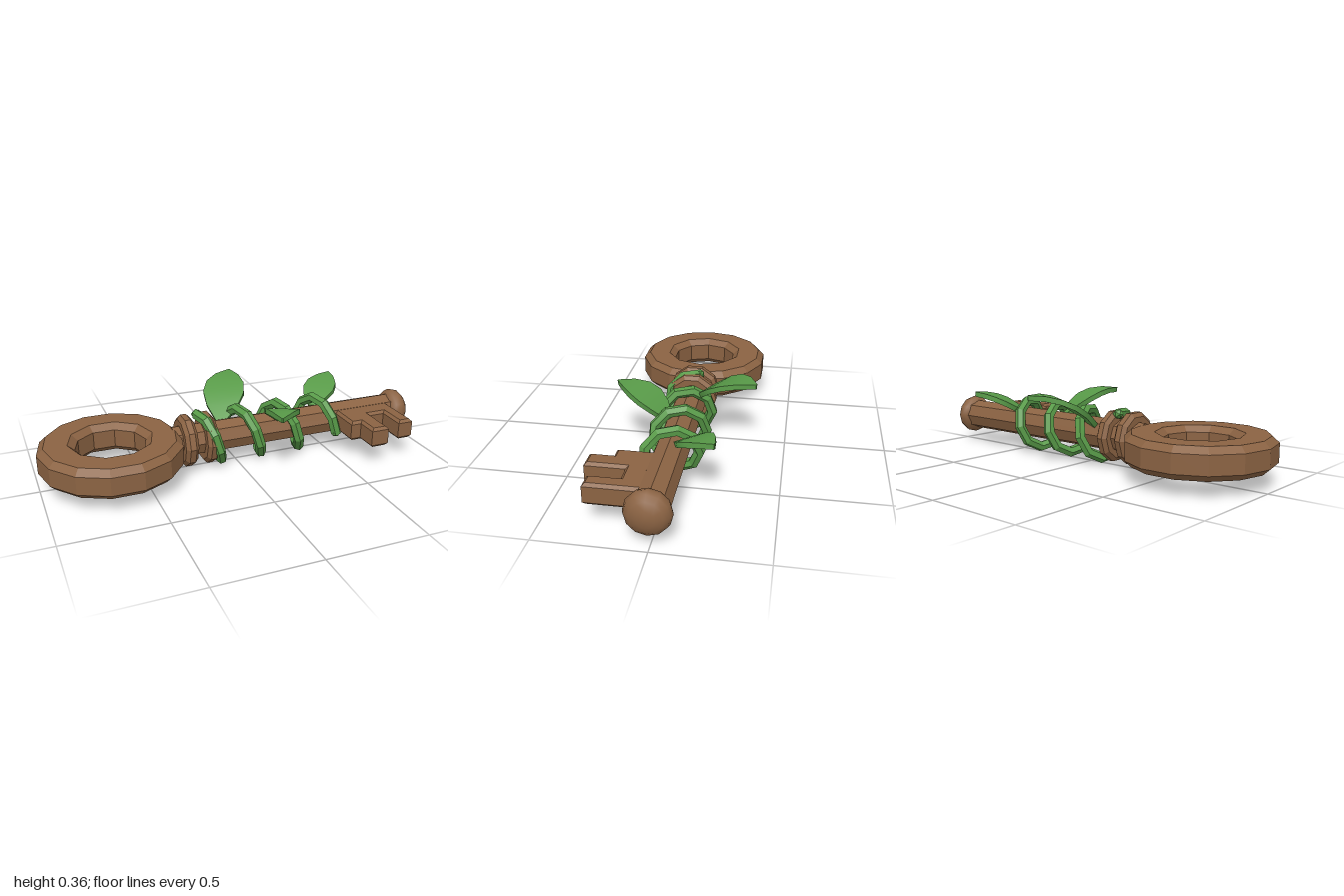
import * as THREE from 'three';
import { toCreasedNormals } from 'three/addons/utils/BufferGeometryUtils.js';

const CY = 0.154, CZ = 0.011; // axis of the shaft

const wood = new THREE.MeshStandardMaterial({ color: 0x8b6343 });
wood.name = 'wood brown';
const green = new THREE.MeshStandardMaterial({ color: 0x589a48 });
green.name = 'leaf green';

function add(parent, name, geometry, material, crease = 0.3) {
  const mesh = new THREE.Mesh(toCreasedNormals(geometry, crease), material);
  mesh.name = name;
  parent.add(mesh);
  return mesh;
}

function polygon(sides, radius) {
  return Array.from({ length: sides }, (_, i) => {
    const a = (i / sides) * Math.PI * 2;
    return new THREE.Vector2(Math.cos(a) * radius, Math.sin(a) * radius);
  });
}

// Bevelled slab lying flat, shape drawn as (x, -z)
function slab(shape, y0, y1, bevelThickness, bevelSize) {
  const geo = new THREE.ExtrudeGeometry(shape, {
    depth: y1 - y0 - 2 * bevelThickness, bevelThickness, bevelSize, bevelSegments: 1,
  });
  return geo.rotateX(-Math.PI / 2).translate(0, y0 + bevelThickness, 0);
}

// Thick curved leaf swept from rectangular cross-sections
function leafGeometry(base, control, tip, halfWidth) {
  const curve = new THREE.QuadraticBezierCurve3(
    new THREE.Vector3(...base), new THREE.Vector3(...control), new THREE.Vector3(...tip));
  const profile = [0.22, 0.75, 1, 0.93, 0.58, 0.04];
  const half = 0.013, pos = [], index = [], up = new THREE.Vector3(0, 1, 0);
  profile.forEach((k, i) => {
    const t = i / (profile.length - 1);
    const p = curve.getPoint(t), d = curve.getTangent(t);
    const w = up.clone().cross(d).normalize(), n = d.clone().cross(w);
    for (const [sw, sn] of [[1, 1], [-1, 1], [-1, -1], [1, -1]]) {
      const v = p.clone().addScaledVector(w, sw * k * halfWidth).addScaledVector(n, sn * half);
      pos.push(v.x, v.y, v.z);
    }
    if (i === 0) return;
    for (let j = 0; j < 4; j++) {
      const a = (i - 1) * 4 + j, b = (i - 1) * 4 + (j + 1) % 4;
      index.push(a, b, b + 4, a, b + 4, a + 4);
    }
  });
  const e = (profile.length - 1) * 4;
  index.push(0, 3, 2, 0, 2, 1, e, e + 1, e + 2, e, e + 2, e + 3);
  const geo = new THREE.BufferGeometry();
  geo.setAttribute('position', new THREE.Float32BufferAttribute(pos, 3));
  geo.setIndex(index);
  return geo;
}

export function createModel() {
  const model = new THREE.Group();
  model.name = 'key with vine';

  // Ring handle: 14-sided outside, 10-sided hole
  const ring = new THREE.Shape(polygon(14, 0.32));
  ring.holes.push(new THREE.Path(polygon(10, 0.207)));
  add(model, 'ringHandle', slab(ring, 0.077, 0.227, 0.03, 0.032), wood)
    .position.set(-0.647, 0, CZ);

  // Octagonal shaft
  add(model, 'shaft', new THREE.CylinderGeometry(0.081, 0.081, 1.25, 8).rotateZ(-Math.PI / 2), wood)
    .position.set(0.285, CY, CZ - 0.005);

  // Two chamfered collars
  for (const [x, w] of [[-0.268, 0.033], [-0.157, 0.031]]) {
    const profile = [[0.07, -w], [0.112, -w], [0.132, -w * 0.45], [0.132, w * 0.45], [0.112, w], [0.07, w]]
      .map(([r, y]) => new THREE.Vector2(r, y));
    add(model, 'collar', new THREE.LatheGeometry(profile, 10).rotateZ(-Math.PI / 2), wood)
      .position.set(x, CY, CZ - 0.003);
  }

  // Flattened end knob
  add(model, 'endKnob', new THREE.SphereGeometry(0.106, 12, 8).rotateZ(-Math.PI / 2).scale(0.62, 1, 1), wood, 1)
    .position.set(0.934, CY - 0.002, CZ);

  // Key bit with stepped teeth, outline as (x, z) inset by the bevel
  const b = 0.014;
  const bit = [
    [0.55 + b, 0.03], [0.55 + b, 0.235 - b], [0.605 + b, 0.235 - b], [0.605 + b, 0.347 - b],
    [0.70 - b, 0.347 - b], [0.70 - b, 0.16 - b], [0.785 + b, 0.16 - b], [0.785 + b, 0.308 - b],
    [0.865 - b, 0.308 - b], [0.865 - b, 0.03],
  ].map(([x, z]) => new THREE.Vector2(x, -z));
  add(model, 'keyBit', slab(new THREE.Shape(bit), 0.105, 0.21, b, b), wood);

  // Vine winding around the shaft
  const turns = 3.3, start = -0.04;
  class Helix extends THREE.Curve {
    getPoint(t, target = new THREE.Vector3()) {
      const k = start + t * (turns - start), a = k * Math.PI * 2;
      return target.set(-0.19 + 0.217 * k, CY - 0.002 + Math.cos(a) * 0.122, CZ - 0.008 + Math.sin(a) * 0.122);
    }
  }
  const helix = new Helix();
  const vine = new THREE.Group();
  vine.name = 'vine';
  model.add(vine);
  add(vine, 'vineStem', new THREE.TubeGeometry(helix, 30, 0.028, 6), green);
  for (const t of [0, 1]) {
    add(vine, 'vineEnd', new THREE.IcosahedronGeometry(0.027, 0), green)
      .position.copy(helix.getPoint(t));
  }

  // Leaves: base, control, tip, half width
  const leaves = [
    ['backLeaf', [-0.06, 0.2, -0.045], [0.01, 0.37, -0.19], [0.103, 0.354, -0.35], 0.107],
    ['frontLeaf', [0.235, 0.21, 0.06], [0.18, 0.36, 0.18], [0.108, 0.332, 0.337], 0.088],
    ['endLeaf', [0.46, 0.21, -0.04], [0.55, 0.31, -0.12], [0.652, 0.314, -0.218], 0.085],
  ];
  for (const [name, base, control, tip, width] of leaves) {
    add(vine, name, leafGeometry(base, control, tip, width), green, 0.7);
  }
  return model;
}
